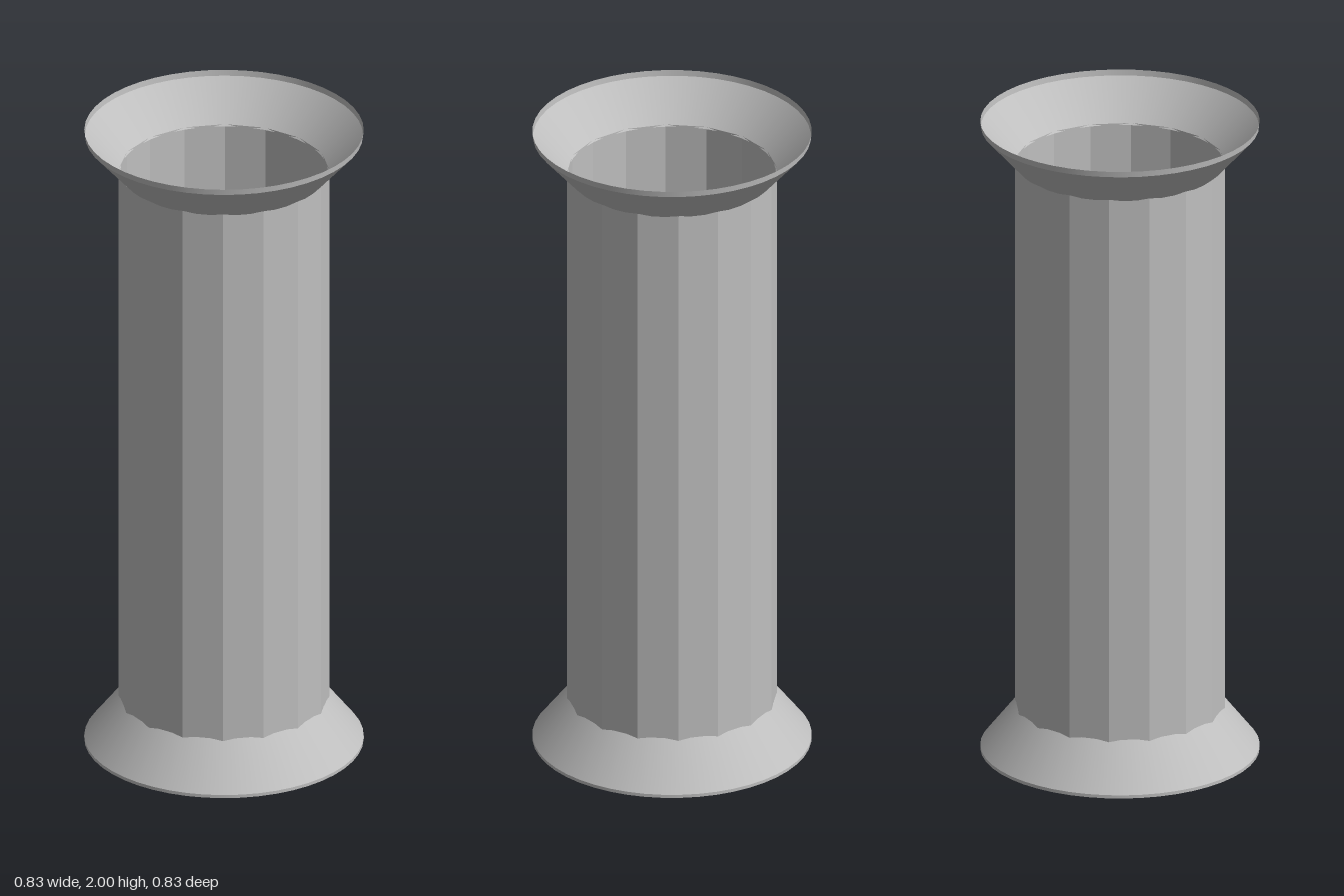
import * as THREE from 'three';

export function createModel() {
  const group = new THREE.Group();
  const grey = new THREE.MeshStandardMaterial({ color: 0xbfbfbf, side: THREE.DoubleSide });
  grey.name = 'lightGrey';
  const greyFaceted = new THREE.MeshStandardMaterial({ color: 0xbfbfbf, side: THREE.DoubleSide, flatShading: true });
  greyFaceted.name = 'lightGreyFaceted';

  // Open surface of revolution from [radius, height] pairs, listed upwards
  const addRing = (name, profile, sides, material) => {
    const points = profile.map(([r, y]) => new THREE.Vector2(r, y));
    const mesh = new THREE.Mesh(new THREE.LatheGeometry(points, sides), material);
    mesh.name = name;
    group.add(mesh);
  };

  // Faceted hollow shaft
  addRing('shaft', [[0.313, 0.13], [0.313, 1.87]], 16, greyFaceted);

  // Flared collars at both ends
  addRing('bottomFlare', [[0.415, 0.01], [0.308, 0.145]], 48, grey);
  addRing('topFlare', [[0.308, 1.865], [0.413, 1.982]], 48, grey);

  // Thin upright lips around the flares
  addRing('bottomLip', [[0.415, 0], [0.415, 0.01]], 48, grey);
  addRing('topLip', [[0.413, 1.982], [0.415, 2]], 48, grey);

  return group;
}
